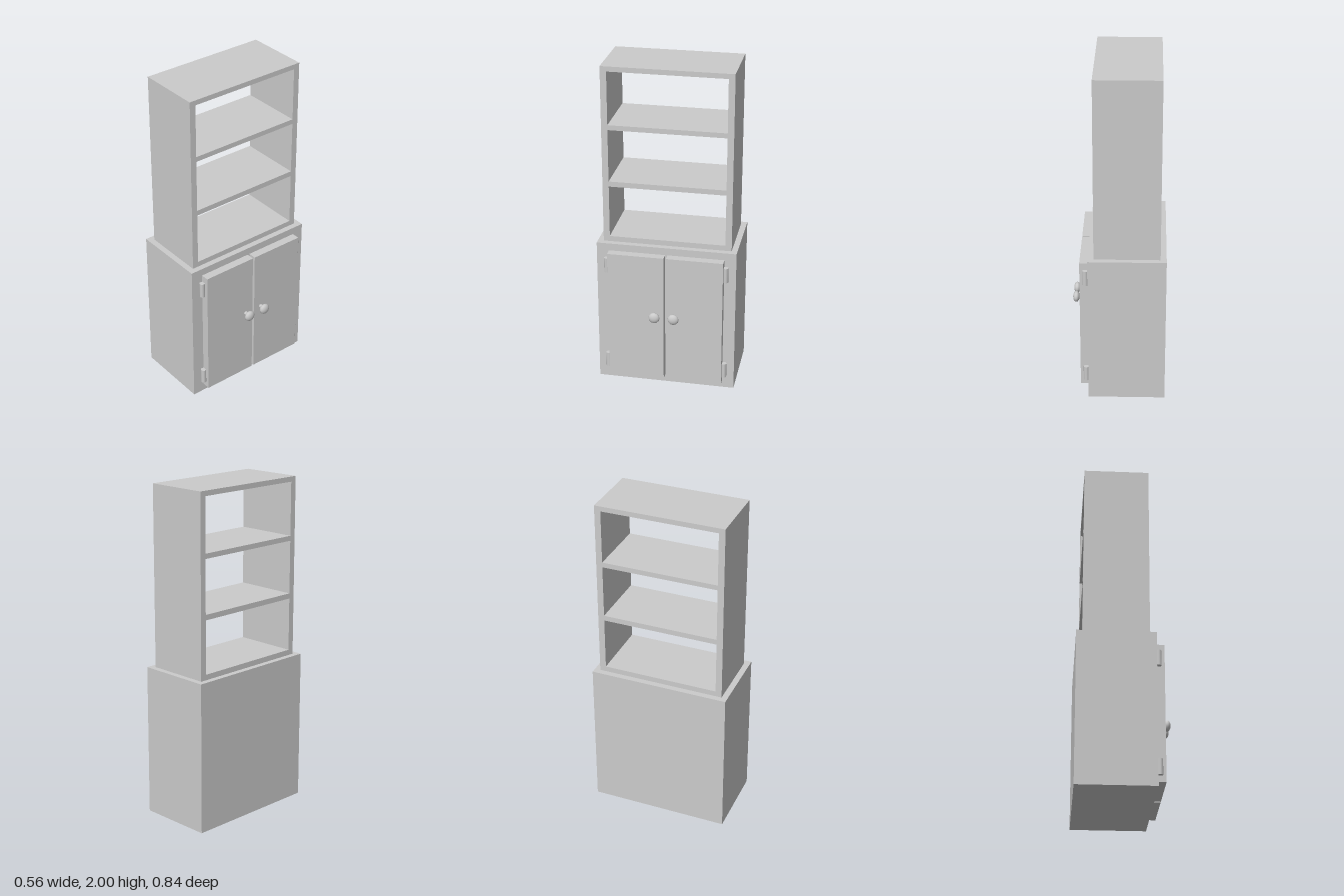
import * as THREE from 'three';

const grey = new THREE.MeshStandardMaterial({ color: 0xcccccc });

function add(parent, name, geometry, x = 0, y = 0, z = 0) {
  const mesh = new THREE.Mesh(geometry, grey);
  mesh.name = name;
  mesh.position.set(x, y, z);
  parent.add(mesh);
  return mesh;
}

// Box given by its lower and upper corners
function addBox(parent, name, [x0, y0, z0], [x1, y1, z1]) {
  return add(parent, name, new THREE.BoxGeometry(x1 - x0, y1 - y0, z1 - z0),
    (x0 + x1) / 2, (y0 + y1) / 2, (z0 + z1) / 2);
}

function rectangle(Type, w, y0, y1) {
  return new Type([[-w, y0], [w, y0], [w, y1], [-w, y1]].map(p => new THREE.Vector2(...p)));
}

export function createModel() {
  const model = new THREE.Group();
  model.name = 'cabinetWithShelves';
  const midZ = -0.0015, frontX = 0.173, doorX = 0.223;

  // Base cabinet
  addBox(model, 'baseCabinet', [-0.283, 0, -0.422], [frontX, 0.915, 0.419]);

  // Open shelf unit: a frame with three openings through its depth
  const frame = rectangle(THREE.Shape, 0.3855, 0.915, 2);
  for (const y of [0.948, 1.3, 1.65]) {
    frame.holes.push(rectangle(THREE.Path, 0.348, y, y + 0.32));
  }
  const shelves = new THREE.ExtrudeGeometry(frame, { depth: 0.386, bevelEnabled: false });
  shelves.rotateY(Math.PI / 2);
  add(model, 'shelfUnit', shelves, -0.248, 0, midZ - 0.0005);

  for (const side of [-1, 1]) {
    const door = new THREE.Group();
    door.name = side > 0 ? 'leftDoor' : 'rightDoor';
    door.position.z = midZ - 0.0015;
    model.add(door);

    // Door panel
    const inner = side * 0.007, outer = side * 0.348;
    addBox(door, 'doorPanel',
      [frontX, 0.047, Math.min(inner, outer)], [doorX, 0.87, Math.max(inner, outer)]);

    // Hinge barrels
    for (const y of [0.131, 0.781]) {
      const barrel = new THREE.CylinderGeometry(0.0165, 0.0165, 0.093, 8);
      add(door, 'hinge', barrel, 0.188, y, side * 0.359);
    }

    // Knob: short stem and flattened ball
    const stem = new THREE.CylinderGeometry(0.0134, 0.0134, 0.04, 12);
    stem.rotateZ(-Math.PI / 2);
    add(door, 'knobStem', stem, doorX + 0.02, 0.488, side * 0.058);
    const ball = new THREE.SphereGeometry(0.034, 12, 8);
    ball.rotateZ(-Math.PI / 2);
    ball.scale(0.6, 1, 1);
    add(door, 'knob', ball, 0.26, 0.488, side * 0.058);
  }
  return model;
}
